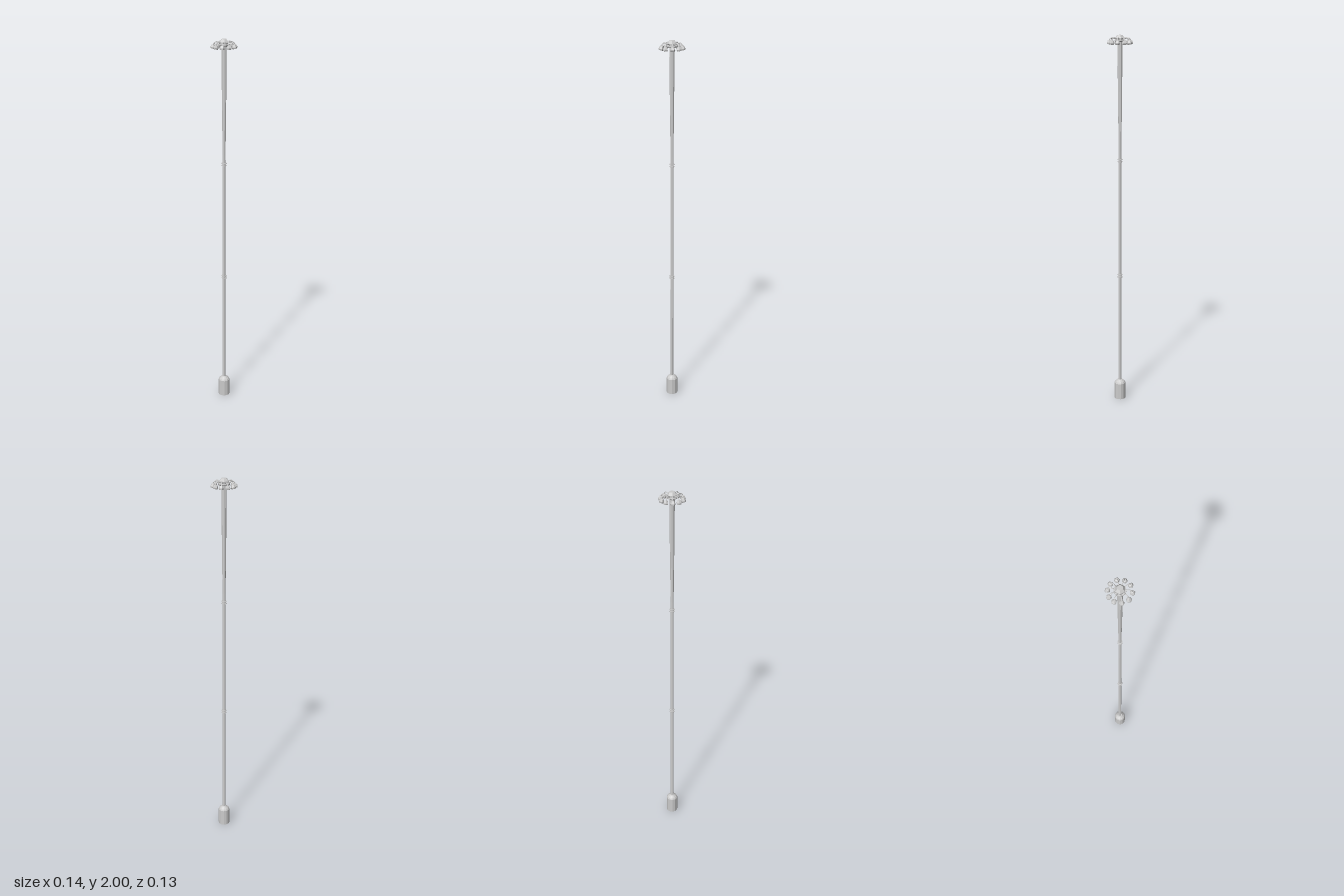
import * as THREE from 'three';

const material = new THREE.MeshStandardMaterial({ color: 0xcccccc, flatShading: true, side: THREE.DoubleSide });

function addMesh(parent, name, geometry) {
  const mesh = new THREE.Mesh(geometry, material);
  mesh.name = name;
  parent.add(mesh);
  return mesh;
}

// Profile points run from bottom to top as [radius, height]
function addLathe(parent, name, profile, sides) {
  const points = profile.map(([r, y]) => new THREE.Vector2(r, y));
  return addMesh(parent, name, new THREE.LatheGeometry(points, sides));
}

export function createModel() {
  const model = new THREE.Group();
  model.name = 'lampPost';

  // Base sleeve with a sloped shoulder
  addLathe(model, 'base', [[0, 0], [0.031, 0], [0.031, 0.09], [0.027, 0.098], [0.013, 0.11], [0, 0.11]], 12);

  // Slim pole that widens toward the top
  addLathe(model, 'pole', [[0.008, 0.1], [0.008, 1.4], [0.0125, 1.8], [0.0135, 1.975]], 8);

  // Pairs of thin collars on the pole
  for (const y of [0.715, 1.35]) {
    for (const side of [-1, 1]) {
      const collar = addMesh(model, 'collar', new THREE.CylinderGeometry(0.0135, 0.0135, 0.004, 8));
      collar.position.y = y + side * 0.006;
    }
  }

  // Central hub: round plate under a bevelled hexagonal cap
  const head = new THREE.Group();
  head.name = 'head';
  model.add(head);
  addLathe(head, 'hubPlate', [[0, 1.964], [0.018, 1.964], [0.029, 1.97], [0.029, 1.975], [0, 1.979]], 12);
  addLathe(head, 'hubCap', [[0, 1.974], [0.025, 1.976], [0.025, 1.986], [0.014, 2], [0, 2]], 6);

  // Ring of arms, each carrying a small lamp
  const angles = [-79, -43, -7, 29, 68, 106, 143, 179, 212, 248];
  const armPath = new THREE.CatmullRomCurve3([
    new THREE.Vector3(0.018, 1.978, 0),
    new THREE.Vector3(0.036, 1.986, 0),
    new THREE.Vector3(0.049, 1.983, 0),
    new THREE.Vector3(0.055, 1.974, 0),
  ]);
  for (const angle of angles) {
    const arm = new THREE.Group();
    arm.name = 'lampArm';
    arm.rotation.y = -THREE.MathUtils.degToRad(angle);
    head.add(arm);
    addMesh(arm, 'armTube', new THREE.TubeGeometry(armPath, 6, 0.0025, 5));
    const lamp = addLathe(arm, 'lamp', [[0, -0.011], [0.011, -0.011], [0.0135, -0.004], [0.009, 0.008], [0, 0.011]], 6);
    lamp.position.set(0.055, 1.964, 0);
    lamp.rotation.z = 0.25;
  }

  return model;
}
